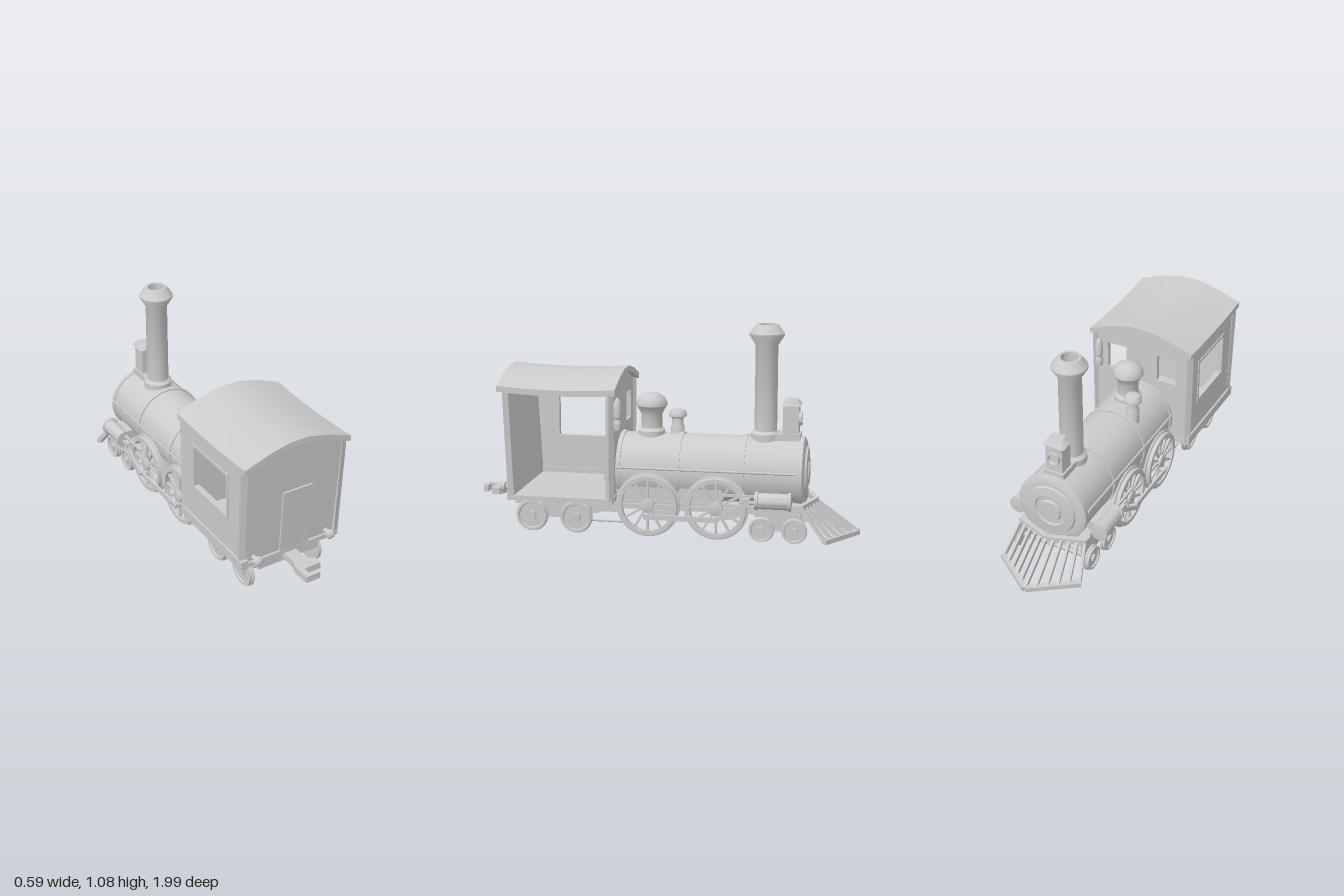
import * as THREE from 'three';
import { mergeGeometries, toCreasedNormals } from 'three/addons/utils/BufferGeometryUtils.js';

const mat = new THREE.MeshStandardMaterial({ color: 0xcccccc, side: THREE.DoubleSide });
const V = (x, y, z) => new THREE.Vector3(x, y, z);

export function createModel() {
  const root = new THREE.Group();
  const add = (name, geo, parent = root) => {
    const m = new THREE.Mesh(geo, mat);
    m.name = name;
    parent.add(m);
    return m;
  };
  // box given by its min and max on each axis
  const box = (x0, x1, y0, y1, z0, z1) =>
    new THREE.BoxGeometry(x1 - x0, y1 - y0, z1 - z0).translate((x0 + x1) / 2, (y0 + y1) / 2, (z0 + z1) / 2);
  // square bar between two points
  const bar = (a, b, w, h = w) => {
    const o = new THREE.Object3D();
    o.position.copy(a).add(b).multiplyScalar(0.5);
    o.lookAt(b);
    o.updateMatrix();
    return new THREE.BoxGeometry(w, h, a.distanceTo(b)).applyMatrix4(o.matrix);
  };
  const rod = (a, b, r) => new THREE.TubeGeometry(new THREE.LineCurve3(a, b), 1, r, 8);
  const lathe = (pts, n = 32) =>
    toCreasedNormals(new THREE.LatheGeometry(pts.map(p => new THREE.Vector2(...p)), n), 0.6);
  const poly = pts => new THREE.Shape(pts.map(p => new THREE.Vector2(...p)));
  const rect = (x0, x1, y0, y1) => [[x0, y0], [x1, y0], [x1, y1], [x0, y1]];
  const extrude = (pts, holes, depth, steps = 1) => {
    const s = poly(pts);
    s.holes = holes.map(poly);
    return new THREE.ExtrudeGeometry(s, { depth, steps, bevelEnabled: false });
  };
  // lathe lying along x, outward face towards +x
  const axleLathe = (pts, n) => lathe(pts, n).rotateZ(-Math.PI / 2);

  // Boiler: revolved along -z, with stepped smokebox door
  add('boiler', lathe([[0, -0.25], [0.18, -0.25], [0.18, 0.675], [0.186, 0.675], [0.186, 0.70], [0.165, 0.71],
    [0.135, 0.71], [0.13, 0.72], [0.085, 0.725], [0.08, 0.718], [0.06, 0.718], [0.055, 0.728], [0, 0.73]], 40)
    .rotateX(-Math.PI / 2).translate(0, 0.33, 0));
  for (const z of [0.235, -0.07, -0.4]) {
    add('boilerBand', lathe([[0.178, -0.012], [0.187, -0.012], [0.187, 0.012], [0.178, 0.012]], 40)
      .rotateX(-Math.PI / 2).translate(0, 0.33, z));
  }

  // Chimney with flared, hollow top
  add('chimney', lathe([[0.075, 0.49], [0.075, 0.53], [0.058, 0.545], [0.057, 0.98], [0.088, 1.03], [0.088, 1.04],
    [0.056, 1.085], [0.042, 1.085], [0.042, 0.95], [0, 0.95]]).translate(0, 0, -0.5));

  // Domes on the boiler
  add('steamDome', lathe([[0.07, 0.48], [0.07, 0.525], [0.055, 0.54], [0.055, 0.61], [0.075, 0.65], [0.08, 0.655],
    [0.08, 0.67], [0.068, 0.695], [0.04, 0.715], [0, 0.722]]).translate(0, 0, 0.09));
  add('sandDome', lathe([[0.035, 0.44], [0.035, 0.53], [0.03, 0.54], [0.03, 0.575], [0.048, 0.585], [0.048, 0.598],
    [0.036, 0.617], [0, 0.628]], 24).translate(-0.09, 0, -0.03));

  // Headlamp on its shelf
  const lamp = new THREE.Group();
  lamp.name = 'headlamp';
  root.add(lamp);
  add('lampShelf', box(-0.055, 0.055, 0.49, 0.535, -0.68, -0.53), lamp);
  add('lampBody', box(-0.045, 0.045, 0.535, 0.68, -0.67, -0.59), lamp);
  add('lampRoof', new THREE.CylinderGeometry(0.045, 0.082, 0.03, 4, 1).rotateY(Math.PI / 4)
    .scale(1, 1, 0.85).translate(0, 0.695, -0.63), lamp);
  add('lampLens', lathe([[0.036, 0], [0.036, 0.018], [0.026, 0.018], [0.022, 0.006], [0, 0.006]], 24)
    .rotateX(-Math.PI / 2).translate(0, 0.61, -0.668), lamp);

  // Cab: arched end walls, one windowed side, the other side open
  const cab = new THREE.Group();
  cab.name = 'cab';
  root.add(cab);
  const arch = [[0.28, 0.75], [0.165, 0.795], [0.055, 0.825], [-0.055, 0.825], [-0.165, 0.795], [-0.28, 0.75]];
  const endWall = [[-0.28, 0.2], [0.28, 0.2], ...arch];
  const back = extrude(endWall, [], 0.025).translate(0, 0, 0.78);
  const p = back.attributes.position;
  for (let i = 0; i < p.count; i++) p.setZ(i, p.getZ(i) + (p.getY(i) - 0.75) * 0.05);
  back.computeVertexNormals();
  add('cabBackWall', back, cab);
  add('cabDoor', bar(V(0.023, 0.19, 0.782), V(0.023, 0.56, 0.799), 0.165, 0.012), cab);
  const frontWindows = [1, -1].map(s => rect(0.09 * s, 0.2 * s, 0.55, 0.7));
  add('cabFrontWall', extrude(endWall, frontWindows, 0.025).translate(0, 0, 0.245), cab);
  const sideWindow = rect(0.36, 0.655, 0.425, 0.65);
  add('cabSideWall', extrude(rect(0.25, 0.785, 0.2, 0.76), [sideWindow], 0.02)
    .rotateY(-Math.PI / 2).translate(-0.26, 0, 0), cab);
  add('cabWindowFrame', extrude(rect(0.345, 0.67, 0.41, 0.665), [sideWindow], 0.03)
    .rotateY(-Math.PI / 2).translate(-0.255, 0, 0), cab);
  add('cabFloor', box(-0.285, 0.285, 0.19, 0.215, 0.24, 0.79), cab);
  add('cabSideSill', box(-0.29, -0.25, 0.195, 0.245, 0.24, 0.805), cab);
  for (const s of [1, -1]) {
    add('cabPost', bar(V(0.27 * s, 0.2, 0.255), V(0.275 * s, 0.755, 0.25), 0.03), cab);
    add('cabPost', bar(V(0.27 * s, 0.2, 0.772), V(0.275 * s, 0.755, 0.79), 0.03), cab);
  }
  add('cabLever', bar(V(0.1, 0.27, 0.32), V(0.1, 0.4, 0.285), 0.015), cab);

  // Roof: arched slab, dipping slightly in the middle of its length
  const top = [[0.295, 0.765], [0.165, 0.812], [0.055, 0.838], [-0.055, 0.838], [-0.165, 0.812], [-0.295, 0.765]];
  const under = top.map(([x, y]) => [x, y - 0.03]).reverse();
  const roof = extrude([...top, ...under], [], 0.61, 6).translate(0, 0, 0.22);
  const rp = roof.attributes.position;
  for (let i = 0; i < rp.count; i++) rp.setY(i, rp.getY(i) + 0.012 * ((rp.getZ(i) - 0.5) / 0.3) ** 2);
  add('cabRoof', toCreasedNormals(roof, 0.5), cab);

  // Hanging lantern at the front of the cab
  add('lantern', lathe([[0, 0.56], [0.018, 0.565], [0.022, 0.6], [0.014, 0.62], [0.02, 0.63], [0.02, 0.70],
    [0.012, 0.72], [0, 0.73]], 16).translate(0.24, 0, 0.218), cab);
  add('lanternBracket', box(0.234, 0.246, 0.65, 0.665, 0.215, 0.25), cab);

  // Underframe
  add('mainFrame', box(-0.175, 0.175, 0.145, 0.19, -0.66, 0.78));
  add('frameKeel', box(-0.13, 0.13, 0.11, 0.145, 0.25, 0.6));
  add('fireboxSides', box(-0.165, 0.165, 0.18, 0.33, -0.3, 0.25));
  add('smokeboxSaddle', box(-0.13, 0.13, 0.12, 0.25, -0.66, -0.46));
  add('frontBeam', box(-0.19, 0.19, 0.16, 0.2, -0.71, -0.66));

  // Rear coupler hook
  add('coupler', extrude([[-0.035, 0.76], [0.035, 0.76], [0.035, 0.87], [0.075, 0.9], [0.075, 0.94], [-0.02, 0.94],
    [-0.02, 0.975], [0.03, 0.975], [0.03, 1], [-0.05, 1], [-0.05, 0.9], [-0.035, 0.87]], [], 0.035)
    .rotateX(Math.PI / 2).translate(0, 0.195, 0));

  // Spoked driving wheel with its axle along x
  const spokes = [];
  for (let i = 0; i < 12; i++) {
    const a = i * Math.PI / 6, c = Math.cos(a), s = Math.sin(a);
    spokes.push(bar(V(0, 0.03 * c, 0.03 * s), V(0, 0.14 * c, 0.14 * s), 0.012));
  }
  const spokeGeo = mergeGeometries(spokes);
  const rimGeo = axleLathe([[0.132, -0.015], [0.165, -0.015], [0.165, -0.007], [0.155, -0.004],
    [0.153, 0.015], [0.132, 0.015], [0.132, -0.015]], 40);
  const hubGeo = axleLathe([[0, -0.02], [0.035, -0.02], [0.035, 0.018], [0.02, 0.022], [0, 0.022]], 20);
  // Small solid wheel
  const discGeo = r => axleLathe([[0, -0.012], [r, -0.012], [r, -0.004], [r * 0.93, 0], [r * 0.93, 0.012],
    [r * 0.78, 0.012], [r * 0.74, 0.004], [r * 0.3, 0.004], [r * 0.28, 0.016], [0, 0.016]], 32);

  const drivers = [0.075, -0.275];
  const smallWheels = [[0.685, 0.085], [0.45, 0.085], [-0.505, 0.065], [-0.67, 0.065]];
  for (const s of [1, -1]) {
    const side = new THREE.Group();
    side.name = s > 0 ? 'leftRunningGear' : 'rightRunningGear';
    root.add(side);
    for (const z of drivers) {
      const wheel = new THREE.Group();
      wheel.name = 'drivingWheel';
      wheel.position.set(0.2 * s, 0.173, z);
      wheel.rotation.y = s > 0 ? 0 : Math.PI;
      side.add(wheel);
      add('rim', rimGeo, wheel);
      add('hub', hubGeo, wheel);
      add('spokes', spokeGeo, wheel);
      add('crankPin', rod(V(0.2 * s, 0.12, z), V(0.243 * s, 0.12, z), 0.016), side);
    }
    for (const [z, r] of smallWheels) {
      const w = add('truckWheel', discGeo(r), side);
      w.position.set(0.2 * s, r + 0.008, z);
      w.rotation.y = s > 0 ? 0 : Math.PI;
    }
    // Truck side frames
    add('rearTruckFrame', box(...[0.15 * s, 0.175 * s].sort((a, b) => a - b), 0.08, 0.19, 0.38, 0.62), side);
    add('frontTruckFrame', box(...[0.14 * s, 0.165 * s].sort((a, b) => a - b), 0.06, 0.15, -0.68, -0.5), side);
    add('brakeRod', rod(V(0.16 * s, 0.07, 0.18), V(0.16 * s, 0.07, 0.38), 0.006), side);
    // Cylinder, rods and guide
    add('steamCylinder', lathe([[0, -0.09], [0.046, -0.09], [0.046, -0.075], [0.04, -0.072], [0.04, 0.072],
      [0.046, 0.075], [0.046, 0.09], [0.02, 0.093], [0, 0.093]], 24)
      .rotateX(-Math.PI / 2).translate(0.23 * s, 0.23, -0.565), side);
    add('cylinderMount', bar(V(0.12 * s, 0.23, -0.565), V(0.22 * s, 0.23, -0.565), 0.12, 0.05), side);
    add('sideRod', bar(V(0.232 * s, 0.12, 0.09), V(0.232 * s, 0.12, -0.29), 0.012, 0.026), side);
    add('mainRod', bar(V(0.242 * s, 0.12, -0.275), V(0.242 * s, 0.215, -0.43), 0.012, 0.022), side);
    add('pistonRod', rod(V(0.235 * s, 0.22, -0.49), V(0.235 * s, 0.22, -0.4), 0.01), side);
    add('crosshead', bar(V(0.235 * s, 0.22, -0.45), V(0.235 * s, 0.22, -0.41), 0.03, 0.04), side);
    add('guideBar', bar(V(0.225 * s, 0.25, -0.48), V(0.225 * s, 0.25, -0.3), 0.012), side);
    add('handrail', rod(V(0.186 * s, 0.36, 0.25), V(0.186 * s, 0.36, -0.68), 0.006), side);
    add('buffer', lathe([[0.012, 0], [0.012, 0.03], [0.025, 0.036], [0.024, 0.05], [0.014, 0.06], [0, 0.063]], 20)
      .rotateX(Math.PI / 2).translate(0.21 * s, 0.24, 0.785), side);
    // V-shaped rails of the cowcatcher
    add('cowcatcherLowerRail', bar(V(0, 0.032, -0.978), V(0.22 * s, 0.032, -0.82), 0.03, 0.024), side);
    add('cowcatcherUpperRail', bar(V(0, 0.19, -0.765), V(0.185 * s, 0.19, -0.70), 0.025, 0.03), side);
  }
  for (const [z, r] of [...smallWheels, ...drivers.map(z => [z, 0.165])]) {
    add('axle', rod(V(-0.2, r + 0.008, z), V(0.2, r + 0.008, z), 0.014));
  }

  // Sloping cowcatcher bars
  for (let i = -5; i <= 5; i++) {
    const t = i / 5, a = Math.abs(t);
    add('cowcatcherBar', bar(V(0.18 * t, 0.19, -0.765 + 0.065 * a), V(0.215 * t, 0.035, -0.978 + 0.155 * a), 0.014, 0.02));
  }
  return root;
}
